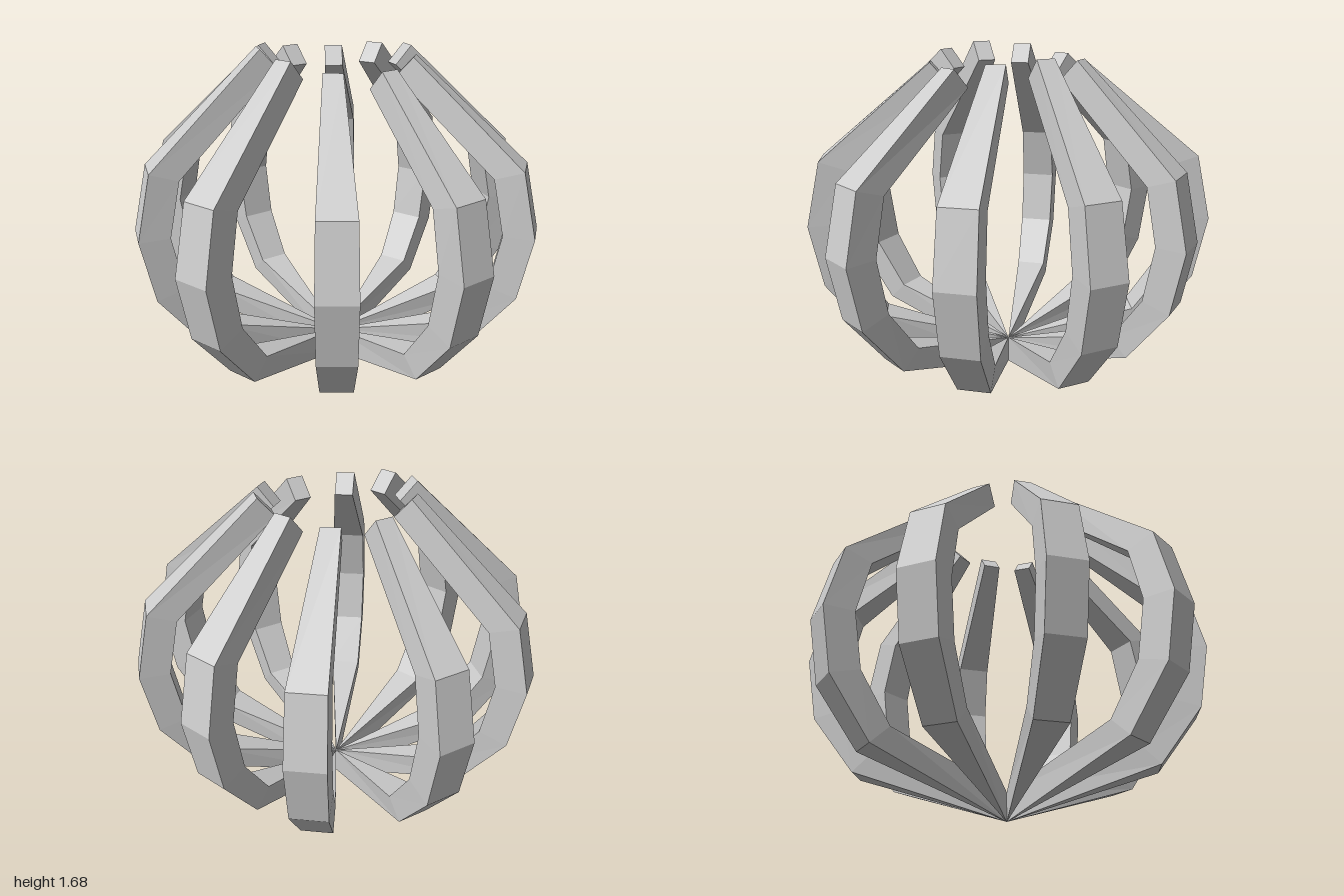
import * as THREE from 'three';

// Cross-sections of a rib from the pole up:
// outer radius, outer height, inner radius, inner height, width
const SECTIONS = [
  [0, 0, 0, 0.14, 0],
  [0.73, 0.24, 0.64, 0.33, 0.155],
  [0.94, 0.515, 0.80, 0.56, 0.175],
  [1.0, 0.83, 0.85, 0.835, 0.18],
  [0.925, 1.155, 0.79, 1.11, 0.17],
  [0.375, 1.64, 0.295, 1.55, 0.09],
];

// Each rib: angle (degrees), angle of its tip, radius scale, lift of its tip
const RIBS = [
  [7.5, 5.7, 0.99, 0.02],
  [43.8, 40, 0.997, 0],
  [80.2, 78, 0.99, -0.03],
  [116.8, 119, 0.997, -0.025],
  [153.2, 155, 1.015, 0.015],
  [188.4, 189.7, 0.995, 0.04],
  [224.2, 223, 0.99, 0.025],
  [261.4, 258.5, 1.0, -0.01],
  [298.6, 295, 1.015, -0.025],
  [331, 329, 0.955, 0.0],
];

function ribGeometry(angle, tipAngle, scale, lift) {
  const last = SECTIONS.length - 1;
  // Four corners per section, outer pair then inner pair
  const loops = SECTIONS.map(([ro, yo, ri, yi, w], i) => {
    const a = THREE.MathUtils.degToRad(i === last ? tipAngle : angle);
    const k = i === last ? 1 : scale;
    const up = i === last ? lift : 0;
    const corner = (r, y, side) => [
      Math.cos(a) * r * k - Math.sin(a) * side,
      y + up,
      Math.sin(a) * r * k + Math.cos(a) * side,
    ];
    return [corner(ro, yo, w / 2), corner(ro, yo, -w / 2),
      corner(ri, yi, -w / 2), corner(ri, yi, w / 2)];
  });
  const pos = [];
  const quad = (a, b, c, d) => pos.push(...a, ...b, ...c, ...a, ...c, ...d);
  for (let i = 0; i < last; i++) {
    for (let j = 0; j < 4; j++) {
      const n = (j + 1) % 4;
      // Split from the upper edge so the pointed foot keeps whole triangles
      quad(loops[i + 1][n], loops[i + 1][j], loops[i][j], loops[i][n]);
    }
  }
  quad(...loops[last]); // flat end of the tip
  const geometry = new THREE.BufferGeometry();
  geometry.setAttribute('position', new THREE.Float32BufferAttribute(pos, 3));
  geometry.computeVertexNormals();
  return geometry;
}

export function createModel() {
  const group = new THREE.Group();
  group.name = 'ribbedCage';
  const material = new THREE.MeshStandardMaterial({ color: 0xcccccc, flatShading: true });
  RIBS.forEach((rib, i) => {
    const mesh = new THREE.Mesh(ribGeometry(...rib), material);
    mesh.name = `rib${i + 1}`;
    group.add(mesh);
  });
  return group;
}
